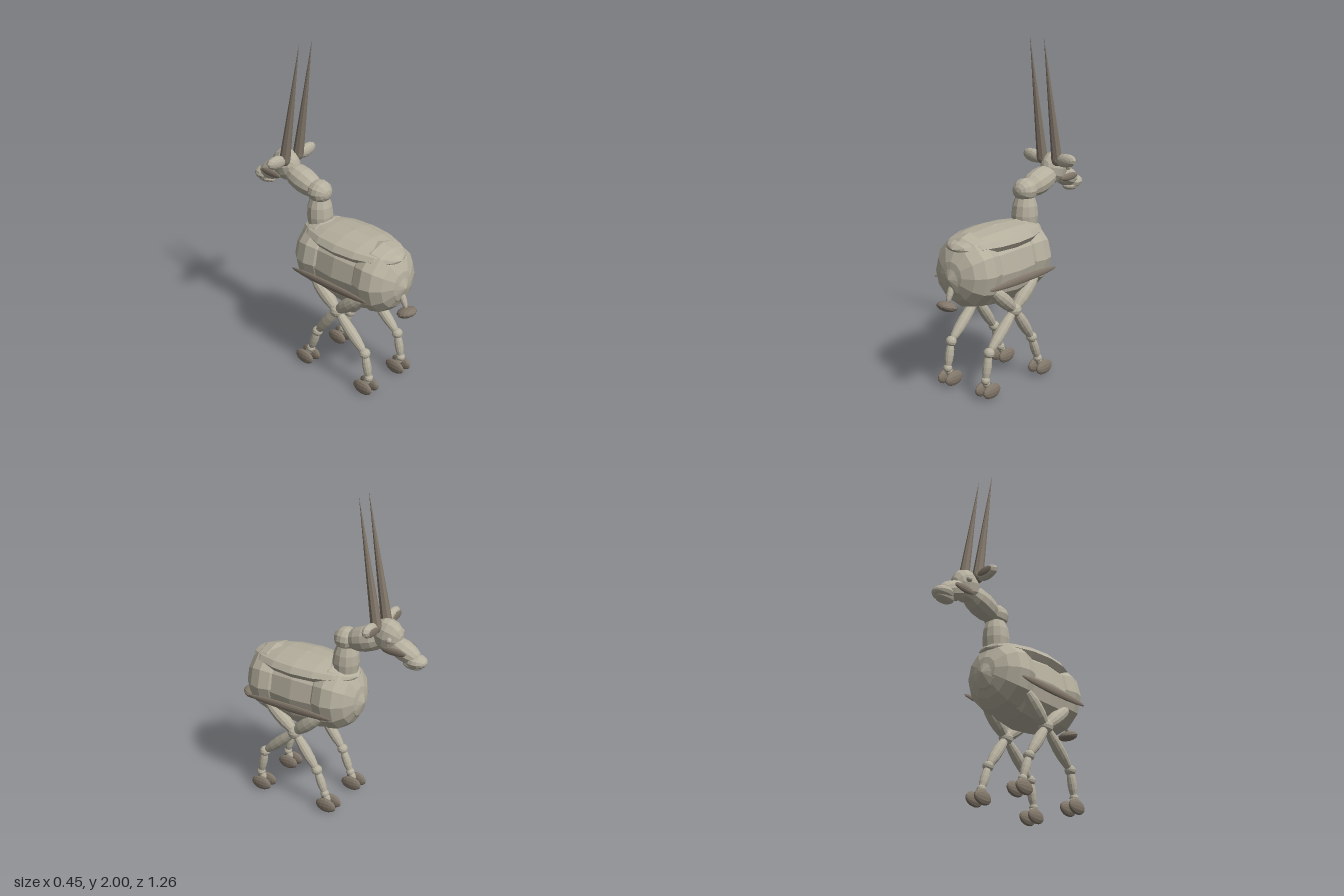
import * as THREE from 'three';

const coat = new THREE.MeshStandardMaterial({ color: 0xb5af9e, flatShading: true });
coat.name = 'pale coat';
const dark = new THREE.MeshStandardMaterial({ color: 0x82776a, flatShading: true });
dark.name = 'dark horn and markings';

// unit ball with its poles on the z axis
const ball = new THREE.SphereGeometry(1, 12, 8).rotateX(Math.PI / 2);
const Z = new THREE.Vector3(0, 0, 1);

export function createModel() {
  const model = new THREE.Group();
  model.name = 'longHornedAntelope';

  // ellipsoid from centre, radii and rotation
  function blob(name, mat, pos, radii, rot = [0, 0, 0]) {
    const m = new THREE.Mesh(ball, mat);
    m.name = name;
    m.position.set(...pos);
    m.scale.set(...radii);
    m.rotation.set(...rot);
    model.add(m);
    return m;
  }

  // long ellipsoid stretched between two points
  function limb(name, mat, a, b, r, extra = 0.01) {
    const p = new THREE.Vector3(...a), q = new THREE.Vector3(...b);
    const d = q.clone().sub(p);
    const m = blob(name, mat, p.clone().add(q).multiplyScalar(0.5).toArray(), [r, r, d.length() / 2 + extra]);
    m.quaternion.setFromUnitVectors(Z, d.normalize());
    return m;
  }

  // trunk
  blob('barrel', coat, [0, 0.715, 0.165], [0.2, 0.238, 0.398]);
  blob('chest', coat, [0, 0.73, -0.05], [0.21, 0.22, 0.17]);
  blob('rump', coat, [0, 0.73, 0.385], [0.21, 0.22, 0.165]);
  blob('back', coat, [0, 0.88, 0.165], [0.19, 0.07, 0.36]);

  // tail
  limb('tail', coat, [0, 0.7, 0.515], [0, 0.59, 0.565], 0.02);
  blob('tailTuft', dark, [0, 0.562, 0.573], [0.062, 0.03, 0.058], [-0.3, 0, 0]);

  // neck
  limb('lowerNeck', coat, [0, 0.83, -0.1], [0, 1.08, -0.11], 0.08, 0.03);
  blob('neckJoint', coat, [0, 1.105, -0.108], [0.075, 0.07, 0.075]);
  limb('upperNeck', coat, [0, 1.1, -0.12], [0, 1.17, -0.36], 0.077, 0.02);

  // head
  blob('skull', coat, [0, 1.195, -0.38], [0.074, 0.1, 0.095], [-0.2, 0, 0]);
  blob('muzzle', coat, [0, 1.125, -0.485], [0.064, 0.06, 0.115], [-0.4, 0, 0]);
  blob('nose', coat, [0, 1.078, -0.565], [0.06, 0.04, 0.066]);
  blob('jaw', coat, [0, 1.055, -0.55], [0.045, 0.03, 0.065]);

  for (const s of [1, -1]) {
    const side = s > 0 ? 'left' : 'right';

    blob(side + 'Eye', coat, [s * 0.073, 1.198, -0.426], [0.017, 0.018, 0.018]);
    blob(side + 'CheekStripe', dark, [s * 0.062, 1.132, -0.452], [0.013, 0.024, 0.08]);
    blob(side + 'Ear', coat, [s * 0.125, 1.258, -0.335], [0.075, 0.042, 0.03], [0, 0, s * 0.15]);
    blob(side + 'InnerEar', dark, [s * 0.13, 1.258, -0.364], [0.052, 0.025, 0.006], [0, 0, s * 0.15]);
    blob(side + 'FlankStripe', dark, [s * 0.214, 0.667, 0.16], [0.012, 0.025, 0.295]);

    // swept-back horn with a rounded root
    const base = new THREE.Vector3(s * 0.056, 1.255, -0.336);
    const tip = new THREE.Vector3(s * 0.052, 2.0, -0.21);
    const dir = tip.clone().sub(base);
    const horn = new THREE.Mesh(new THREE.ConeGeometry(0.033, dir.length(), 8), dark);
    horn.name = side + 'Horn';
    horn.position.copy(base).add(tip).multiplyScalar(0.5);
    horn.quaternion.setFromUnitVectors(new THREE.Vector3(0, 1, 0), dir.normalize());
    model.add(horn);
    blob(side + 'HornRoot', dark, base.toArray(), [0.032, 0.04, 0.032]);

    // legs meet at a shared joint under the belly: [top z, lower knee, fetlock, hoof z]
    const x = s * 0.147;
    const hub = [x, 0.468, 0.165];
    blob(side + 'UpperJoint', coat, hub, [0.043, 0.043, 0.043]);
    for (const [name, topZ, knee, fetlock, hoofZ] of [
      ['Front', -0.03, [x, 0.253, 0.007], [x, 0.105, -0.05], -0.075],
      ['Hind', 0.37, [x, 0.265, 0.388], [x, 0.108, 0.42], 0.4],
    ]) {
      const leg = side + name;
      limb(leg + 'Thigh', coat, [x, 0.64, topZ], hub, 0.043);
      limb(leg + 'Shin', coat, hub, knee, 0.034);
      blob(leg + 'Knee', coat, knee, [0.034, 0.032, 0.032]);
      limb(leg + 'Pastern', coat, knee, fetlock, 0.027);
      blob(leg + 'Fetlock', coat, fetlock, [0.027, 0.026, 0.026]);
      limb(leg + 'Ankle', coat, fetlock, [x, 0.06, hoofZ], 0.022);
      for (const t of [-1, 1]) {
        blob(leg + 'Hoof', dark, [x + t * 0.031, 0.046, hoofZ], [0.023, 0.045, 0.069]);
      }
    }
  }
  return model;
}
